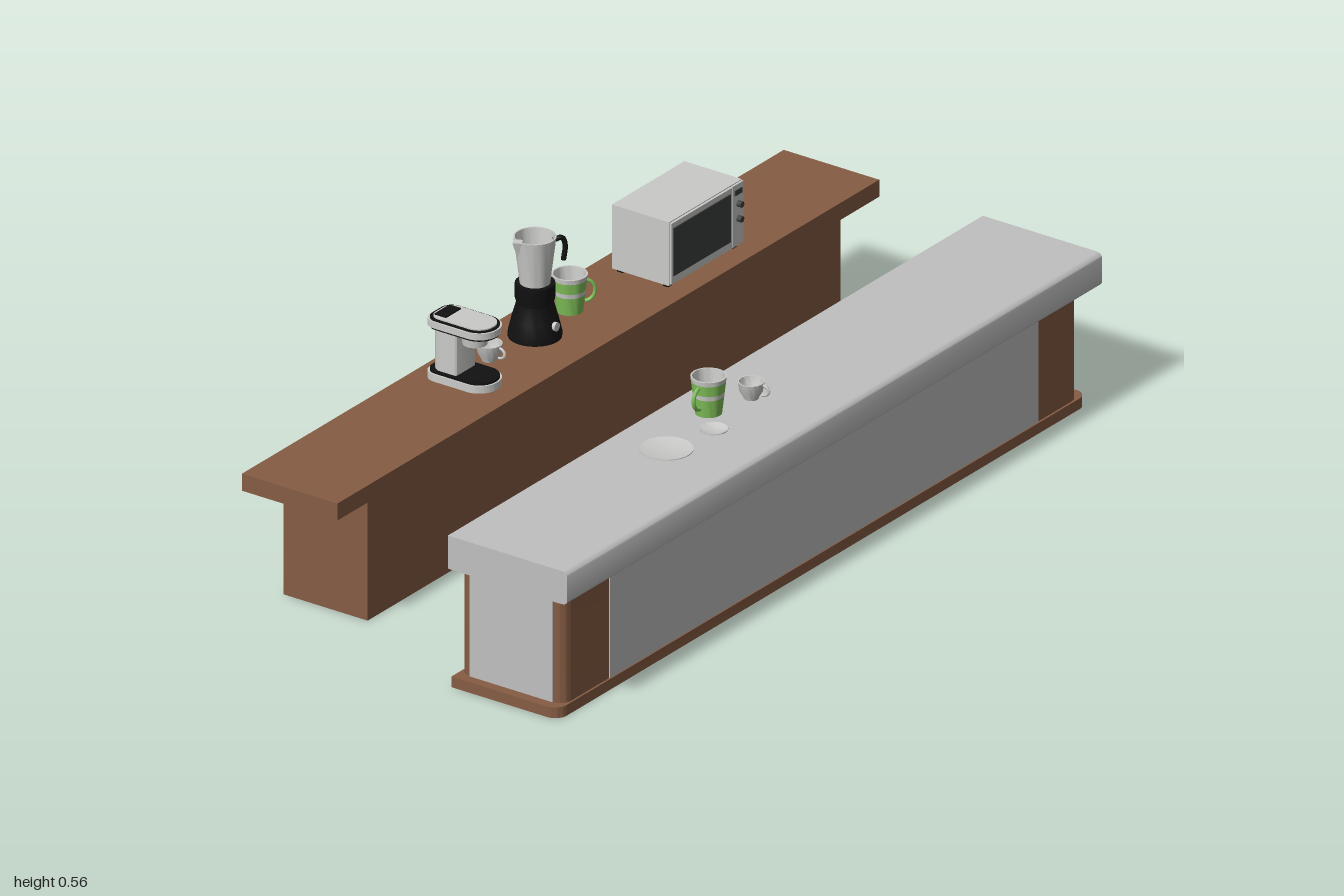
import * as THREE from 'three';
import { toCreasedNormals } from 'three/addons/utils/BufferGeometryUtils.js';

const mat = (name, color) => Object.assign(new THREE.MeshStandardMaterial({ color }), { name });

export function createModel() {
  const brown = mat('brown wood', 0x865c43);
  const stone = mat('grey stone', 0xc0c0c0);
  const silver = mat('light grey', 0xcacac8);
  const green = mat('mug green', 0x7fbf58);
  const black = mat('black', 0x111111);
  const glass = mat('dark glass', 0x3c4040);
  const root = new THREE.Group();

  const group = (name, x, y, z, parent = root) => {
    const g = new THREE.Group();
    g.name = name;
    g.position.set(x, y, z);
    parent.add(g);
    return g;
  };
  const add = (name, geo, material, parent = root) => {
    const m = new THREE.Mesh(geo, material);
    m.name = name;
    parent.add(m);
    return m;
  };
  // box given by its limits
  const box = (name, x0, x1, y0, y1, z0, z1, material, parent) => {
    const g = new THREE.BoxGeometry(x1 - x0, y1 - y0, z1 - z0);
    g.translate((x0 + x1) / 2, (y0 + y1) / 2, (z0 + z1) / 2);
    return add(name, g, material, parent);
  };
  // upright prism with rounded plan corners: rl on the -x side, rr on the +x side
  const slab = (name, x0, x1, y0, y1, z0, z1, rl, rr, material, parent) => {
    const s = new THREE.Shape();
    const a = -z1, b = -z0, h = Math.PI / 2;
    s.moveTo(x0 + rl, a);
    s.lineTo(x1 - rr, a);
    if (rr) s.absarc(x1 - rr, a + rr, rr, -h, 0);
    s.lineTo(x1, b - rr);
    if (rr) s.absarc(x1 - rr, b - rr, rr, 0, h);
    s.lineTo(x0 + rl, b);
    if (rl) s.absarc(x0 + rl, b - rl, rl, h, 2 * h);
    s.lineTo(x0, a + rl);
    if (rl) s.absarc(x0 + rl, a + rl, rl, 2 * h, 3 * h);
    const g = new THREE.ExtrudeGeometry(s, { depth: y1 - y0, bevelEnabled: false, curveSegments: 10 });
    g.rotateX(-h).translate(0, y0, 0);
    return add(name, toCreasedNormals(g, 0.6), material, parent);
  };
  const lathe = (name, pts, material, parent) => add(name, toCreasedNormals(
    new THREE.LatheGeometry(pts.map(p => new THREE.Vector2(...p)), 28), 0.6), material, parent);
  // loop handle pointing along (dx, dz)
  const handle = (dx, dz, r, height, y, half, thick, material, parent) => {
    const g = new THREE.TorusGeometry(half, thick, 8, 14, Math.PI);
    g.rotateZ(-Math.PI / 2).scale(height, 1, 1).translate(r, y, 0);
    const m = add('handle', g, material, parent);
    m.rotation.y = Math.atan2(-dz, dx);
    return m;
  };

  // back counter
  box('backCounterBase', -0.425, -0.205, 0, 0.29, -0.88, 0.83, brown);
  box('backCounterTop', -0.44, -0.19, 0.29, 0.33, -1, 0.96, brown);

  // front counter: plinth, rounded wooden corners, grey panels
  slab('plinth', 0.13, 0.41, 0, 0.025, -0.925, 0.99, 0, 0.03, brown);
  slab('cornerColumns', 0.133, 0.405, 0.025, 0.28, -0.9, 0.965, 0.027, 0.027, brown);
  box('endPanels', 0.16, 0.378, 0.025, 0.28, -0.902, 0.967, stone);
  box('sidePanels', 0.131, 0.407, 0.025, 0.28, -0.75, 0.8, stone);
  const edge = new THREE.Shape();
  edge.moveTo(0.128, 0.282);
  edge.lineTo(0.423, 0.282);
  edge.quadraticCurveTo(0.438, 0.282, 0.44, 0.292);
  edge.lineTo(0.44, 0.35);
  edge.quadraticCurveTo(0.438, 0.36, 0.423, 0.36);
  edge.lineTo(0.128, 0.36);
  const topGeo = new THREE.ExtrudeGeometry(edge, { depth: 1.935, bevelEnabled: false, curveSegments: 5 });
  add('frontCounterTop', toCreasedNormals(topGeo.translate(0, 0, -0.935), 0.6), stone);

  // microwave, door facing +x
  const oven = group('microwave', 0, 0, 0);
  box('case', -0.385, -0.235, 0.338, 0.488, -0.565, -0.302, silver, oven);
  const hump = new THREE.BoxGeometry(0.028, 0.15, 0.263);
  const hp = hump.attributes.position;
  for (let i = 0; i < hp.count; i++) {
    if (hp.getX(i) < 0) hp.setXYZ(i, hp.getX(i), hp.getY(i) * 0.63, hp.getZ(i) * 0.7);
  }
  hump.computeVertexNormals();
  add('rearHousing', hump.translate(-0.399, 0.413, -0.4335), silver, oven);
  box('door', -0.235, -0.229, 0.343, 0.486, -0.522, -0.303, silver, oven);
  box('controlPanel', -0.235, -0.23, 0.343, 0.486, -0.564, -0.525, silver, oven);
  box('window', -0.23, -0.226, 0.362, 0.474, -0.514, -0.308, glass, oven);
  for (const y of [0.405, 0.44]) {
    const knob = new THREE.CylinderGeometry(0.007, 0.007, 0.012, 14).rotateZ(Math.PI / 2);
    add('knob', knob.translate(-0.225, y, -0.545), glass, oven);
  }
  box('display', -0.231, -0.228, 0.462, 0.474, -0.558, -0.532, glass, oven);
  for (const x of [-0.37, -0.25]) for (const z of [-0.55, -0.317]) {
    box('foot', x - 0.007, x + 0.007, 0.33, 0.338, z - 0.007, z + 0.007, black, oven);
  }

  // striped mugs
  const mug = (x, y, z, dx, dz) => {
    const g = group('mug', x, y, z);
    const h = 0.087, r = t => 0.029 + 0.01 * t;
    const bands = [[0, 0.48, green], [0.48, 0.6, silver], [0.6, 0.88, green], [0.88, 1, silver]];
    for (const [a, b, m] of bands) lathe('band', [[r(a), a * h], [r(b), b * h]], m, g);
    lathe('inside', [[r(1), h], [r(1) - 0.004, h], [0.026, 0.006], [0, 0.006]], silver, g);
    lathe('bottom', [[0, 0], [r(0), 0]], green, g);
    handle(dx, dz, 0.032, 0.9, 0.045, 0.025, 0.0045, green, g);
  };
  mug(-0.347, 0.33, -0.097, 0.7, -0.7);
  mug(0.222, 0.36, 0.187, 0, 1);

  // small cups
  const cup = (x, y, z, dx, dz) => {
    const g = group('cup', x, y, z);
    lathe('bowl', [[0, 0], [0.016, 0], [0.017, 0.004], [0.025, 0.018], [0.029, 0.04], [0.026, 0.04],
      [0.022, 0.02], [0.014, 0.006], [0, 0.006]], silver, g);
    handle(dx, dz, 0.025, 1.3, 0.023, 0.012, 0.003, silver, g);
  };
  cup(0.254, 0.36, 0.077, 1, -0.2);
  cup(-0.343, 0.33, 0.2, 1, 0);

  // plates
  for (const [x, z, r] of [[0.286, 0.257, 0.031], [0.262, 0.395, 0.058]]) {
    lathe('plate', [[0, 0], [r * 0.6, 0], [r, 0.006], [r, 0.008], [r * 0.58, 0.003], [0, 0.003]],
      silver, group('plateGroup', x, 0.36, z));
  }

  // blender
  const blender = group('blender', -0.335, 0.33, 0.045);
  lathe('motorBase', [[0, 0], [0.058, 0], [0.058, 0.012], [0.05, 0.045], [0.04, 0.08], [0.043, 0.09],
    [0.043, 0.125], [0, 0.125]], black, blender);
  lathe('jug', [[0, 0.125], [0.033, 0.125], [0.035, 0.145], [0.046, 0.233], [0.043, 0.233],
    [0.032, 0.145], [0, 0.14]], silver, blender);
  const spout = new THREE.ConeGeometry(0.014, 0.04, 4).rotateX(Math.PI).translate(0, 0.213, 0.046);
  add('spout', toCreasedNormals(spout, 0.3), silver, blender).rotation.y = -0.3;
  const grip = new THREE.TubeGeometry(new THREE.CatmullRomCurve3([[0.041, 0.215], [0.062, 0.218],
    [0.07, 0.2], [0.066, 0.165]].map(([x, y]) => new THREE.Vector3(x, y, 0))), 12, 0.006, 8);
  add('jugHandle', grip, black, blender).rotation.y = Math.atan2(0.06, 0.035);
  const dial = new THREE.CylinderGeometry(0.01, 0.01, 0.01, 16).rotateZ(Math.PI / 2);
  add('dial', dial.translate(0.053, 0.035, 0), silver, blender);

  // coffee machine
  const coffee = group('coffeeMachine', 0, 0, 0);
  slab('baseDisc', -0.406, -0.243, 0.33, 0.347, 0.26, 0.356, 0.03, 0.046, silver, coffee);
  slab('dripTray', -0.402, -0.247, 0.347, 0.352, 0.264, 0.352, 0.028, 0.043, black, coffee);
  slab('body', -0.392, -0.325, 0.352, 0.45, 0.272, 0.344, 0.025, 0.006, silver, coffee);
  slab('lowerTrim', -0.402, -0.247, 0.45, 0.455, 0.264, 0.352, 0.028, 0.043, black, coffee);
  slab('topDisc', -0.406, -0.243, 0.455, 0.47, 0.26, 0.356, 0.03, 0.046, silver, coffee);
  slab('topRim', -0.402, -0.247, 0.47, 0.473, 0.264, 0.352, 0.028, 0.043, black, coffee);
  slab('lid', -0.395, -0.253, 0.473, 0.476, 0.27, 0.346, 0.024, 0.037, silver, coffee);
  box('tankHatch', -0.388, -0.358, 0.474, 0.479, 0.281, 0.335, black, coffee);
  const head = new THREE.CylinderGeometry(0.03, 0.027, 0.028, 24);
  add('brewHead', head.translate(-0.302, 0.437, 0.308), silver, coffee);

  return root;
}
